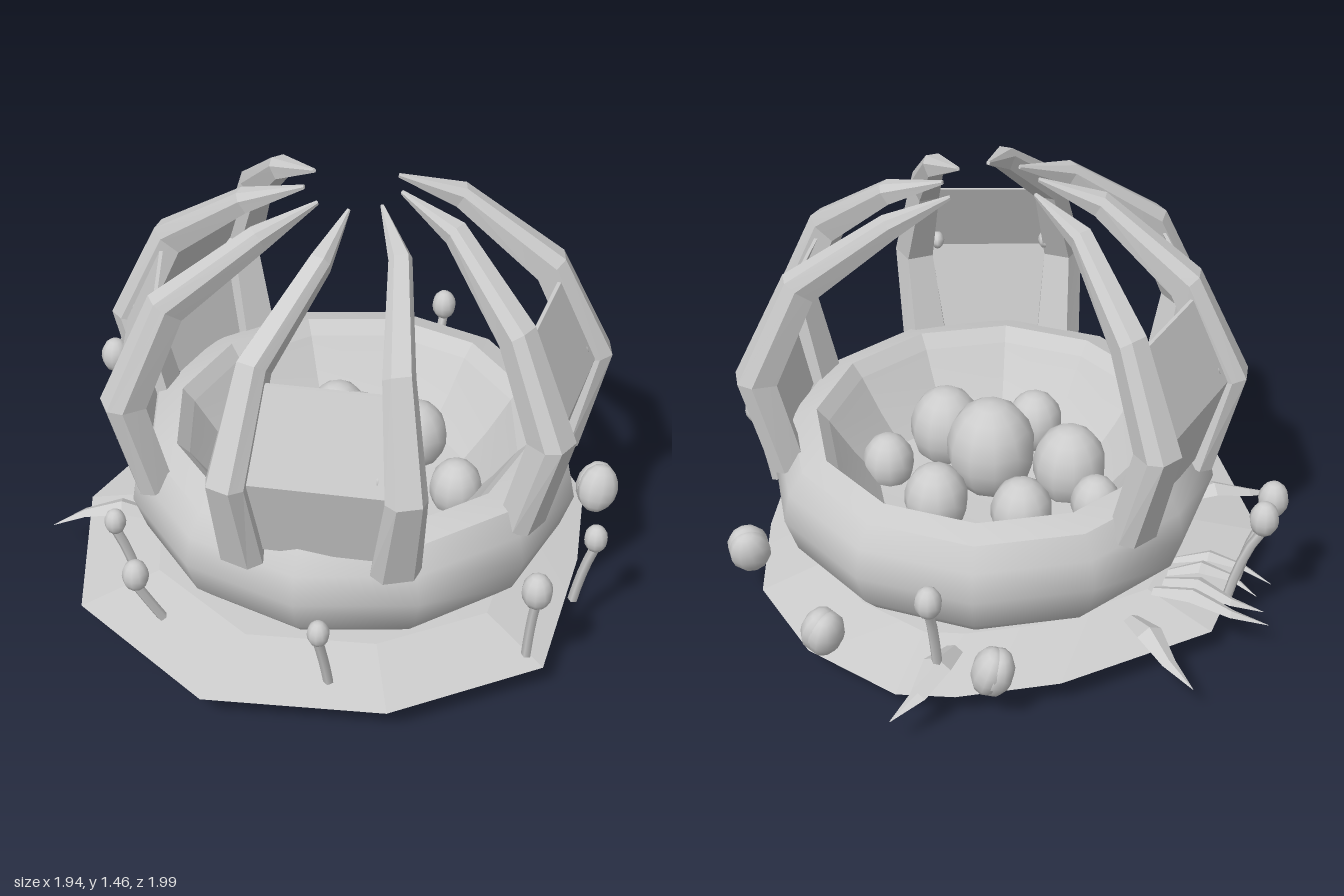
import * as THREE from 'three';
import { toCreasedNormals } from 'three/addons/utils/BufferGeometryUtils.js';

const CX = 0.05, CZ = 0.03; // centre of the nest
const STEP = Math.PI * 2 / 9; // angle between ribs
const V = (x, y, z) => new THREE.Vector3(x, y, z);

// Skin a list of rings (arrays of points, counter-clockwise about the path) and cap both ends
function loft(rings, crease = 0.1) {
  const n = rings[0].length, pos = [], idx = [];
  rings.flat().forEach(p => pos.push(p.x, p.y, p.z));
  for (let i = 0; i < rings.length - 1; i++) for (let j = 0; j < n; j++) {
    const a = i * n + j, b = i * n + (j + 1) % n;
    idx.push(a, b, b + n, a, b + n, a + n);
  }
  const last = (rings.length - 1) * n;
  for (let j = 1; j < n - 1; j++) idx.push(0, j + 1, j, last, last + j, last + j + 1);
  const g = new THREE.BufferGeometry();
  g.setAttribute('position', new THREE.Float32BufferAttribute(pos, 3));
  g.setIndex(idx);
  return toCreasedNormals(g, crease);
}

export function createModel() {
  const model = new THREE.Group();
  model.name = 'eggNest';
  const grey = new THREE.MeshStandardMaterial({ color: 0xcccccc, side: THREE.DoubleSide });
  grey.name = 'lightGrey';
  const add = (name, geo, parent = model) => {
    const m = new THREE.Mesh(geo, grey);
    m.name = name;
    parent.add(m);
    return m;
  };

  // Irregular ground slab, shallow cone above and below the rim
  const outline = [[-0.13, -0.81], [-0.42, -0.64], [-0.8, -0.24], [-0.82, 0.34], [-0.52, 0.82], [0.05, 0.99],
    [0.58, 0.76], [0.91, 0.34], [0.79, -0.19], [0.66, -0.53], [0.39, -0.76], [0.05, -0.86]];
  const slabRing = (s, y) => outline.map(([x, z]) => V(CX + (x - CX) * s, y, CZ + (z - CZ) * s));
  add('groundSlab', loft([slabRing(0.01, 0), slabRing(0.55, 0.035), slabRing(1, 0.11),
    slabRing(0.72, 0.165), slabRing(0.01, 0.18)]));

  // Bowl: smooth outer wall, faceted lip and inside
  const lathe = (pts, crease) => toCreasedNormals(
    new THREE.LatheGeometry(pts.map(p => new THREE.Vector2(...p)), 12, Math.PI / 12), crease);
  const bowl = new THREE.Group();
  bowl.name = 'bowl';
  bowl.position.set(CX, 0, CZ);
  model.add(bowl);
  add('bowlWall', lathe([[0.57, 0.17], [0.65, 0.21], [0.705, 0.27], [0.745, 0.39], [0.725, 0.49], [0.675, 0.56]], 1), bowl);
  add('bowlLip', lathe([[0.675, 0.56], [0.59, 0.585], [0.55, 0.54]], 0.2), bowl);
  add('bowlInside', lathe([[0.55, 0.54], [0.47, 0.42], [0.39, 0.32], [0, 0.28]], 0.2), bowl);

  // Eggs: x, y, z, radius
  const eggs = [[0.05, 0.47, 0.02, 0.15], [-0.13, 0.39, -0.185, 0.103], [0.16, 0.39, -0.21, 0.107],
    [0.4, 0.37, -0.04, 0.088], [0.275, 0.4, 0.185, 0.125], [0, 0.39, 0.33, 0.097],
    [-0.2, 0.4, 0.105, 0.125], [-0.335, 0.37, -0.03, 0.083]];
  eggs.forEach(([x, y, z, r]) => {
    const egg = add('egg', new THREE.SphereGeometry(r, 11, 9));
    egg.position.set(x, y, z);
    egg.scale.y = 1.2;
  });

  // Claw-like ribs: radius, height, sideways drift, half width, depth
  const ribPath = [[0.74, 0.49, 0, 0.08, 0.11], [0.83, 0.84, 0.01, 0.065, 0.125], [0.66, 1.19, 0.015, 0.05, 0.11],
    [0.35, 1.405, 0.075, 0.036, 0.07], [0.14, 1.455, 0.06, 0.006, 0.012]];
  const section = [[-0.6, 0], [0.6, 0], [1, 0.35], [0.7, 1], [-0.7, 1], [-1, 0.35]];
  const ribRings = ribPath.map(([r, y, drift, w, d], i) => {
    const a = ribPath[Math.max(i - 1, 0)], b = ribPath[Math.min(i + 1, ribPath.length - 1)];
    const t = new THREE.Vector2(b[0] - a[0], b[1] - a[1]).normalize();
    return section.map(([u, v]) => V(drift + u * w, y + t.x * v * d, r - t.y * v * d));
  });
  const ribGeo = loft(ribRings);
  for (let k = -3; k <= 3; k++) {
    const rib = add('rib', ribGeo);
    rib.position.set(CX, 0, CZ);
    rib.rotation.y = k * STEP;
  }

  // Bent panels filling four of the gaps, with small knobs on their inner side
  const panelRows = [[0.71, 0.54], [0.79, 0.84], [0.66, 1.12]];
  const panelGeo = loft(panelRows.map(([r, y]) =>
    [[-1, 0], [1, 0], [1, 0.012], [-1, 0.012]].map(([s, o]) =>
      V(s * (r - o) * Math.sin(STEP / 2), y, (r - o) * Math.cos(STEP / 2)))));
  [0.5, 2.5, -1.5, -2.5].forEach(k => {
    const g = new THREE.Group();
    g.name = 'panelGroup';
    g.position.set(CX, 0, CZ);
    g.rotation.y = k * STEP;
    model.add(g);
    add('panel', panelGeo, g);
    [-1, 1].forEach(s => {
      const knob = add('panelKnob', new THREE.SphereGeometry(0.03, 8, 6), g);
      knob.position.set(s * 0.19, 0.88, 0.69);
      knob.scale.set(0.8, 1, 1.2);
    });
  });

  // Stalks with round heads: head x, y, z, radius, then foot offset in x and z
  const stalks = [[-0.91, 0.48, -0.08, 0.048, 0.1, 0], [-0.915, 0.49, 0.02, 0.05, 0.1, 0],
    [-0.43, 0.43, 0.72, 0.035, 0.05, -0.05], [-0.29, 0.34, 0.82, 0.043, 0.05, -0.06],
    [0.37, 0.385, 0.81, 0.035, 0, -0.06], [0.88, 0.43, 0.36, 0.049, -0.03, -0.02],
    [0.93, 0.42, 0.03, 0.038, -0.06, 0], [-0.06, 0.49, -0.84, 0.043, 0, 0.07]];
  stalks.forEach(([x, y, z, r, dx, dz]) => {
    const curve = new THREE.QuadraticBezierCurve3(V(x + dx, 0.14, z + dz),
      V(x + dx * 0.6, y - 0.14, z + dz * 0.6), V(x, y - r, z));
    add('stalk', new THREE.TubeGeometry(curve, 4, 0.017, 5));
    const head = add('stalkHead', new THREE.SphereGeometry(r, 10, 8));
    head.position.set(x, y, z);
    head.scale.y = 1.3;
  });

  // Grooved pods resting behind the bowl
  [[-0.24, -0.77], [0.33, -0.77], [0.735, -0.46]].forEach(([x, z]) => {
    const pod = new THREE.Group();
    pod.name = 'pod';
    pod.position.set(x, 0.215, z);
    pod.rotation.y = Math.atan2(x - CX, z - CZ);
    pod.rotateX(0.2).rotateZ(-0.25);
    model.add(pod);
    [-1, 1].forEach(s => {
      const lobe = add('podLobe', new THREE.SphereGeometry(0.065, 10, 8), pod);
      lobe.position.x = s * 0.012;
      lobe.scale.set(0.85, 1.35, 1.08);
    });
  });

  // Pointed leaves lying on the slab: base x, z, tip x, z, half width, sideways bend
  const leaves = [[-0.58, -0.16, -0.97, -0.17, 0.04, 0.03], [-0.6, -0.1, -0.94, -0.11, 0.04, 0.03],
    [-0.6, -0.05, -0.9, -0.04, 0.035, -0.03], [-0.6, 0.02, -0.93, 0.04, 0.03, -0.02],
    [-0.52, 0.36, -0.83, 0.55, 0.045, 0.02], [-0.55, -0.32, -0.82, -0.55, 0.045, 0.02],
    [-0.07, -0.65, 0.01, -1, 0.05, -0.03]];
  const leafPath = [[0, 0.16, 0.6, 0], [0.35, 0.195, 1, 0.6], [0.7, 0.165, 0.55, 1], [1, 0.13, 0.03, 0]];
  leaves.forEach(([x0, z0, x1, z1, w, bend]) => {
    const side = V(x1 - x0, 0, z1 - z0).normalize().cross(V(0, 1, 0));
    add('leaf', loft(leafPath.map(([t, y, s, b]) => {
      const c = V(x0 + (x1 - x0) * t, y, z0 + (z1 - z0) * t).addScaledVector(side, bend * b);
      return [[-1, 0], [0, 0.5], [1, 0], [0, -0.4]].map(([u, v]) =>
        c.clone().addScaledVector(side, u * w * s).add(V(0, v * w * s, 0)));
    })));
  });

  return model;
}
